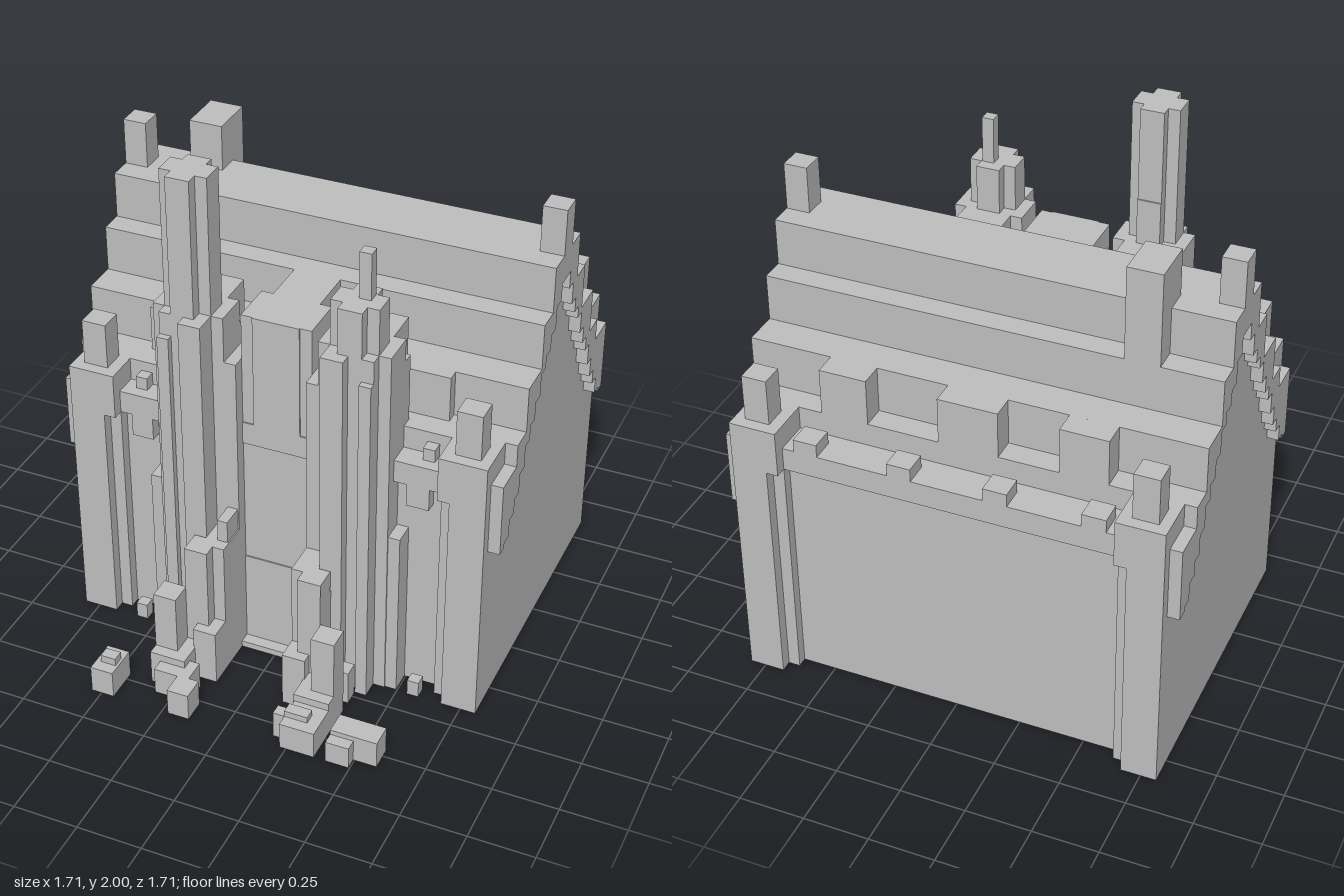
import * as THREE from 'three';

export function createModel() {
  const root = new THREE.Group();
  root.name = 'blockManor';
  const stone = new THREE.MeshStandardMaterial({ color: 0xbfbfbf });
  stone.name = 'stone grey';

  // Box from its lower and upper limits on each axis
  function box(name, x0, x1, y0, y1, z0, z1) {
    const m = new THREE.Mesh(new THREE.BoxGeometry(x1 - x0, y1 - y0, z1 - z0), stone);
    m.position.set((x0 + x1) / 2, (y0 + y1) / 2, (z0 + z1) / 2);
    m.name = name;
    root.add(m);
  }
  // The same box on both sides of the model
  function pair(name, x0, x1, ...rest) {
    box(name + 'Left', x0, x1, ...rest);
    box(name + 'Right', -x1, -x0, ...rest);
  }

  // Main walls
  box('walls', -0.81, 0.81, 0, 1.01, -0.77, 0.315);

  // Stepped roof: top height, back and front limits
  const layers = [[0.92, 1.01, -0.81, 0.36], [1.01, 1.1, -0.675, 0.225],
    [1.1, 1.28, -0.585, 0.135], [1.28, 1.46, -0.45, 0], [1.46, 1.64, -0.36, -0.09]];
  layers.forEach(([y0, y1, z0, z1], i) => box('roofStep' + i, -0.81, 0.81, y0, y1, z0, z1));

  // Overhanging gable trim with a stair-shaped underside, symmetric about the ridge
  const outer = [[0.585, 0.72], [0.585, 1.01], [0.45, 1.01], [0.45, 1.1], [0.36, 1.1],
    [0.36, 1.28], [0.225, 1.28], [0.225, 1.46], [0.135, 1.46], [0.135, 1.64]];
  const heights = [0.72, 0.74, 0.81, 0.87, 0.95, 1.04, 1.1, 1.17, 1.26, 1.31, 1.37, 1.46, 1.53];
  const inner = [];
  heights.forEach((y, i) => {
    const u = 0.585 - 0.045 * i;
    if (i > 0) inner.push([u, y]);
    if (i < heights.length - 1) inner.push([u - 0.045, y]);
  });
  const flip = pts => pts.map(([u, y]) => [-u, y]);
  const outline = [...outer, ...flip(outer).reverse(), ...flip(inner), ...inner.slice().reverse()];
  const trimShape = new THREE.Shape(outline.map(([u, y]) => new THREE.Vector2(u, y)));
  const trimGeometry = new THREE.ExtrudeGeometry(trimShape, { depth: 0.045, bevelEnabled: false });
  trimGeometry.rotateY(Math.PI / 2);
  [[0.81, 'Left'], [-0.855, 'Right']].forEach(([x, side]) => {
    const m = new THREE.Mesh(trimGeometry, stone);
    m.position.set(x, 0, -0.225);
    m.name = 'gableTrim' + side;
    root.add(m);
  });

  // Ridge posts and chimney
  pair('ridgePost', 0.765, 0.855, 1.6, 1.82, -0.27, -0.18);
  box('chimney', -0.63, -0.5, 1.2, 1.82, -0.45, -0.27);

  // Corner turrets with stepped caps and pinnacles
  [[0.225, 0.405, 0.27, 0.36, 'front'], [-0.855, -0.675, -0.81, -0.72, 'back']].forEach(([z0, z1, p0, p1, n]) => {
    pair(n + 'Turret', 0.675, 0.81, 0, 1.01, z0, z1);
    pair(n + 'TurretSide', 0.63, 0.81, 0, 1.01, z0 + 0.045, z1 - 0.045);
    pair(n + 'TurretCap', 0.63, 0.81, 0.92, 1.1, z0, z1);
    pair(n + 'Pinnacle', 0.675, 0.77, 1.1, 1.28, p0, p1);
  });

  // Back dormers and eave battlements
  [[-0.54, -0.36], [-0.135, 0.09], [0.36, 0.54]].forEach(([a, b], i) =>
    box('backDormer' + i, a, b, 1.01, 1.28, -0.675, -0.58));
  [-0.54, -0.18, 0.18, 0.54].forEach((x, i) =>
    box('battlement' + i, x - 0.045, x + 0.045, 0.96, 1.06, -0.81, -0.72));

  // Front dormers and eave brackets
  pair('frontDormer', 0.4, 0.585, 1.01, 1.28, 0.13, 0.18);
  pair('frontDormerSill', 0.45, 0.63, 1.01, 1.1, 0.13, 0.27);
  pair('eaveBracket', 0.5, 0.585, 0.83, 1.01, 0.3, 0.36);
  pair('eaveBlock', 0.54, 0.585, 1.0, 1.06, 0.27, 0.315);

  // Central bay with its door and threshold
  box('centralRoof', -0.09, 0.09, 1.01, 1.46, -0.05, 0.36);
  box('centralBay', -0.135, 0.135, 0, 1.46, 0.18, 0.355);
  box('door', -0.135, 0.135, 0.02, 0.405, 0.355, 0.36);
  box('threshold', -0.135, 0.135, 0, 0.025, 0.355, 0.405);

  // Clustered towers either side of the entrance
  pair('towerCore', 0.18, 0.45, 0, 1.37, 0.225, 0.405);
  pair('towerMiddle', 0.225, 0.405, 0, 1.46, 0.135, 0.45);
  pair('towerFrontRib', 0.225, 0.31, 0, 1.46, 0.4, 0.495);
  pair('towerOuterRib', 0.36, 0.405, 0, 1.37, 0.4, 0.475);
  pair('towerInnerRib', 0.135, 0.18, 0, 1.28, 0.2, 0.405);
  pair('towerShoulder', 0.44, 0.495, 0, 0.7, 0.27, 0.4);
  pair('towerCrown', 0.18, 0.45, 1.28, 1.46, 0.27, 0.405);
  pair('towerTop', 0.225, 0.405, 1.46, 1.64, 0.315, 0.405);
  pair('towerTopCross', 0.27, 0.36, 1.46, 1.64, 0.27, 0.45);
  box('mast', 0.31, 0.355, 1.64, 1.82, 0.315, 0.36);
  box('spire', -0.405, -0.225, 1.64, 2, 0.315, 0.405);
  box('spireCross', -0.36, -0.27, 1.64, 2, 0.275, 0.45);

  // Stepped buttresses beside the path
  pair('buttressBack', 0.135, 0.225, 0, 0.56, 0.4, 0.54);
  pair('buttressSide', 0.225, 0.27, 0, 0.47, 0.48, 0.585);
  pair('buttressFront', 0.135, 0.225, 0, 0.225, 0.54, 0.63);
  pair('buttressFoot', 0.27, 0.36, 0, 0.14, 0.48, 0.54);
  box('buttressTip', -0.18, -0.14, 0.56, 0.65, 0.405, 0.495);
  pair('buttressPier', 0.18, 0.27, 0.1, 0.56, 0.5, 0.59);
  pair('gatePost', 0.27, 0.36, 0, 0.38, 0.585, 0.675);
  pair('gatePostFoot', 0.22, 0.36, 0, 0.14, 0.585, 0.72);

  // Low garden blocks
  box('hedgeRight', -0.32, -0.18, 0, 0.11, 0.675, 0.77);
  box('hedgeRightEnd', -0.225, -0.14, 0, 0.11, 0.765, 0.855);
  box('outerHedgeRight', -0.54, -0.45, 0, 0.11, 0.72, 0.855);
  box('outerHedgeRightTop', -0.52, -0.46, 0.11, 0.14, 0.765, 0.81);
  box('hedgeLeft', 0.225, 0.36, 0, 0.11, 0.72, 0.855);
  box('hedgeLeftSide', 0.18, 0.225, 0, 0.11, 0.765, 0.81);
  box('hedgeLeftTop', 0.225, 0.315, 0.11, 0.135, 0.765, 0.81);
  box('outerHedgeLeft', 0.405, 0.585, 0, 0.11, 0.72, 0.81);
  box('outerHedgeLeftEnd', 0.405, 0.495, 0, 0.09, 0.81, 0.855);
  pair('wallShrub', 0.54, 0.585, 0, 0.065, 0.36, 0.405);

  return root;
}
